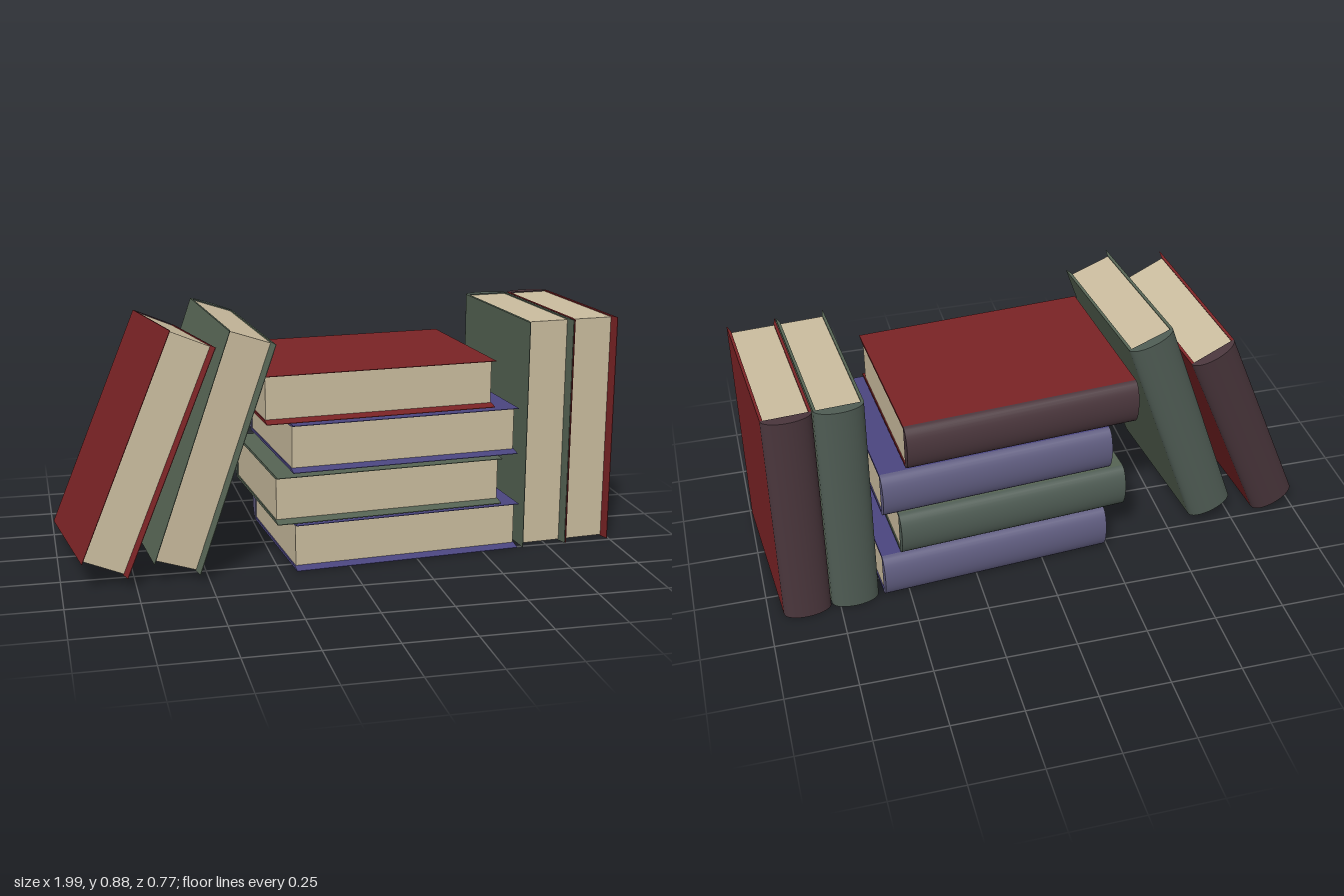
import * as THREE from 'three';
import { toCreasedNormals } from 'three/addons/utils/BufferGeometryUtils.js';

const mat = (name, color) => {
  const m = new THREE.MeshStandardMaterial({ color });
  m.name = name;
  return m;
};

// Book size: thickness along x, height along y, depth along z (spine at -z)
const HALF_T = 0.084, HEIGHT = 0.83, FORE = 0.315, BACK = -0.275, BULGE = 0.04, COVER = 0.01;

// Extrude a cross-section given as [x, z] points along y, centred on y = 0
function prism(points, height) {
  const shape = new THREE.Shape(points.map(([x, z]) => new THREE.Vector2(x, -z)));
  const geo = new THREE.ExtrudeGeometry(shape, { depth: height, bevelEnabled: false });
  geo.translate(0, 0, -height / 2).rotateX(-Math.PI / 2);
  return toCreasedNormals(geo, 0.6);
}

function bookGeometries() {
  const inner = HALF_T - COVER;
  // Cover board tapering to a thin lip at the fore edge
  const cover = (s) => prism([
    [s * HALF_T, BACK], [s * HALF_T, FORE], [s * (HALF_T - 0.002), FORE],
    [s * inner, FORE - 0.035], [s * inner, BACK],
  ], HEIGHT);
  // Rounded back of the spine
  const arc = [];
  for (let i = 0; i <= 16; i++) {
    const a = Math.PI * i / 16;
    arc.push([HALF_T * Math.cos(a), BACK - BULGE * Math.sin(a)]);
  }
  const pageDepth = FORE - 0.035 - BACK;
  const pages = new THREE.BoxGeometry(inner * 2, HEIGHT - 0.008, pageDepth);
  pages.translate(0, 0, BACK + pageDepth / 2);
  return { leftCover: cover(1), rightCover: cover(-1), spine: prism(arc, HEIGHT), pages };
}

export function createModel() {
  const paper = mat('paper', 0xcbbd9f);
  const cloth = {
    red: [mat('red cover', 0x7a2325), mat('dark red spine', 0x4a363c)],
    green: [mat('green cover', 0x566454), mat('green spine', 0x4f5c54)],
    blue: [mat('blue cover', 0x4b4680), mat('blue spine', 0x605d80)],
  };
  const geo = bookGeometries();
  const model = new THREE.Group();
  model.name = 'books';

  // up: direction of the book's height, fore: direction from spine to fore edge
  function addBook(name, colour, position, up, fore) {
    const [cover, spine] = cloth[colour];
    const book = new THREE.Group();
    book.name = name;
    for (const part of Object.keys(geo)) {
      const m = part === 'pages' ? paper : part === 'spine' ? spine : cover;
      const mesh = new THREE.Mesh(geo[part], m);
      mesh.name = part;
      book.add(mesh);
    }
    const y = new THREE.Vector3(...up).normalize();
    const x = y.clone().cross(new THREE.Vector3(...fore)).normalize();
    const z = x.clone().cross(y);
    book.quaternion.setFromRotationMatrix(new THREE.Matrix4().makeBasis(x, y, z));
    book.position.set(...position);
    model.add(book);
  }

  const turned = [0.078, 0, 0.997];

  // Lying stack, bottom to top
  [
    ['blue', 0.198, 0.09, -0.02],
    ['green', 0.13, 0.265, -0.016],
    ['blue', 0.187, 0.446, -0.02],
    ['red', 0.095, 0.624, -0.012],
  ].forEach(([colour, x, y, z], i) =>
    addBook('stackedBook' + (i + 1), colour, [x, y, z], [0.997, 0, -0.078], turned));

  // Upright pair
  addBook('uprightGreenBook', 'green', [0.715, 0.422, -0.056], [0, 1, 0], turned);
  addBook('uprightRedBook', 'red', [0.886, 0.422, -0.07], [0, 1, 0], turned);

  // Leaning pair
  addBook('leaningGreenBook', 'green', [-0.504, 0.458, 0.045], [0.327, 0.945, -0.015], [0.09, -0.015, 0.995]);
  addBook('leaningRedBook', 'red', [-0.73, 0.44, 0.024], [0.39, 0.915, -0.1], [0.115, 0.06, 0.99]);

  return model;
}
